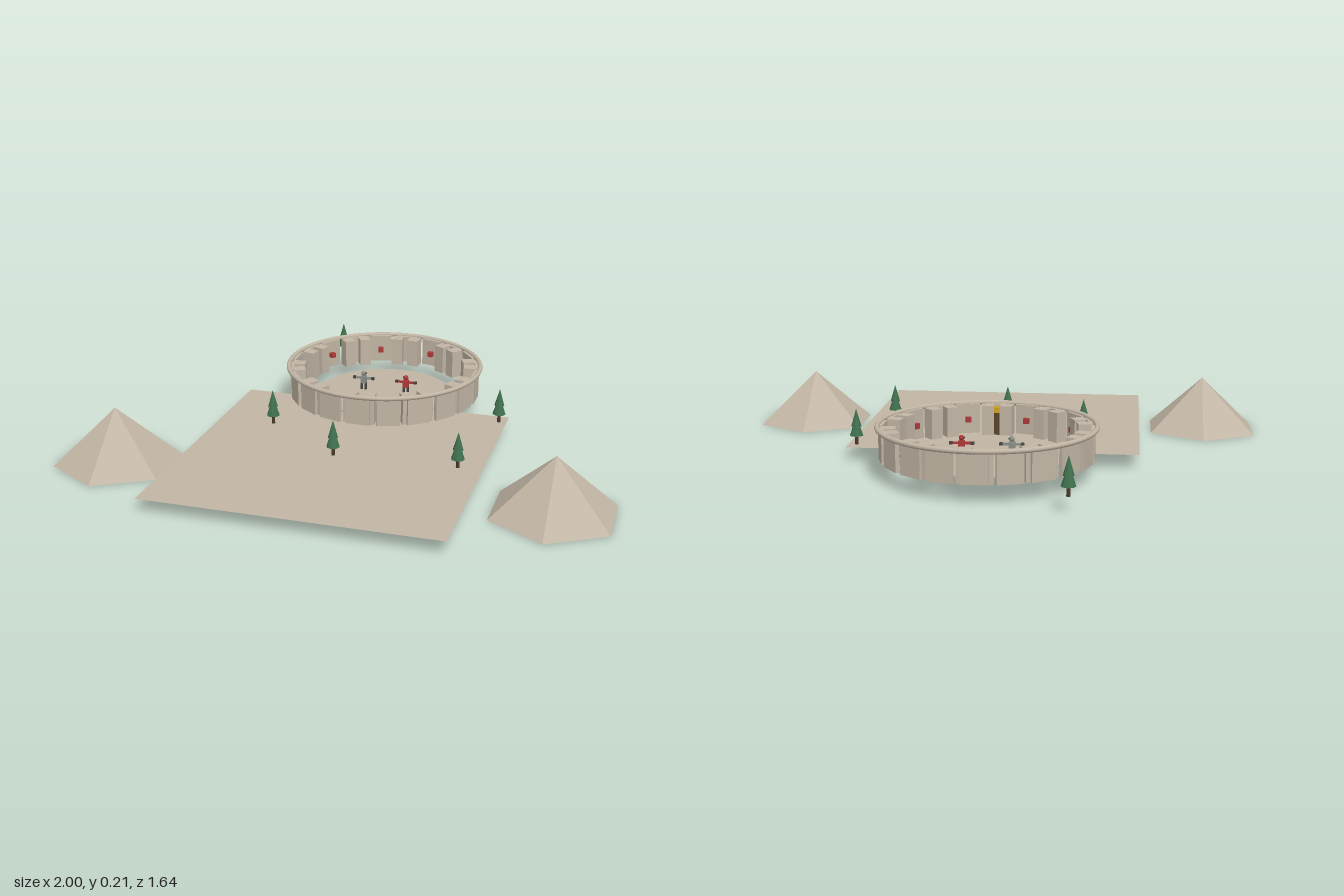
import * as THREE from 'three';

const mat = (name, color, extra = {}) => {
  const m = new THREE.MeshStandardMaterial({ color, ...extra });
  m.name = name;
  return m;
};

export function createModel() {
  const root = new THREE.Group();
  root.name = 'arenaSite';
  const stone = mat('sandstone', 0xc2b6a5, { flatShading: true });
  const paving = mat('paving', 0xc2b6a5, { side: THREE.DoubleSide });
  const green = mat('foliage', 0x40704f, { flatShading: true });
  const bark = mat('bark', 0x4a3a2a);
  const gold = mat('gold', 0xd0a020);
  const wood = mat('darkWood', 0x5a4326);
  const red = mat('red', 0xb03a3a);
  const grey = mat('greyMetal', 0x8a8f86);
  const dark = mat('darkMetal', 0x45443f);

  const add = (parent, name, geo, material, x = 0, y = 0, z = 0) => {
    const m = new THREE.Mesh(geo, material);
    m.name = name;
    m.position.set(x, y, z);
    parent.add(m);
    return m;
  };
  const group = (name, x, y, z) => {
    const g = new THREE.Group();
    g.name = name;
    g.position.set(x, y, z);
    root.add(g);
    return g;
  };
  const box = (w, h, d) => new THREE.BoxGeometry(w, h, d);

  // Paved forecourt
  const plaza = add(root, 'plaza', new THREE.PlaneGeometry(1.066, 1.066), paving, -0.013, 0.053, 0.284);
  plaza.rotation.x = -Math.PI / 2;

  // Six-sided hills
  for (const [x, z] of [[-0.797, 0.441], [0.794, 0.417]])
    add(root, 'hill', new THREE.ConeGeometry(0.234, 0.208, 6), stone, x, 0.104, z);

  // Trees: trunk and two tiers
  for (const [x, z] of [[-0.32, -0.80], [-0.333, 0.062], [-0.022, 0.284], [0.431, 0.263], [0.49, -0.196]]) {
    const tree = group('tree', x, 0.053, z);
    add(tree, 'trunk', new THREE.CylinderGeometry(0.005, 0.007, 0.04, 8), bark, 0, 0.02, 0);
    add(tree, 'lowerFoliage', new THREE.ConeGeometry(0.025, 0.075, 8), green, 0, 0.0705, 0);
    add(tree, 'upperFoliage', new THREE.ConeGeometry(0.019, 0.066, 8), green, 0, 0.101, 0);
  }

  // Arena floor and top rim
  const arena = group('arena', -0.013, 0, -0.366);
  add(arena, 'arenaFloor', new THREE.CylinderGeometry(0.267, 0.267, 0.007, 64),
    mat('arenaFloorStone', 0xc0b4a3), 0, 0.0575, 0);
  const rim = add(arena, 'rim', new THREE.TorusGeometry(0.384, 0.009, 10, 80), paving, 0, 0.177, 0);
  rim.rotation.x = Math.PI / 2;

  // Places a part on the ring; its local z points outward
  const onRing = (name, geo, material, deg, r, y) => {
    const a = THREE.MathUtils.degToRad(deg);
    const m = add(arena, name, geo, material, r * Math.sin(a), y, r * Math.cos(a));
    m.rotation.y = a;
    return m;
  };

  // Wall panels
  for (let i = 0; i < 20; i++)
    onRing('wallPanel', box(0.092, 0.112, 0.014), stone, i * 18, 0.37, 0.12);

  // Alcoves: two inward pillars and a red lamp between them
  for (let i = 0; i < 10; i++) {
    const deg = 18 + i * 36;
    for (const s of [-1, 1])
      onRing('pillar', box(0.046, 0.112, 0.05), stone, deg + s * 12, 0.344, 0.12);
    onRing('lamp', box(0.02, 0.02, 0.018), red, deg, 0.354, 0.118);
  }

  // Gate inside the front wall
  onRing('gateDoor', box(0.1, 0.085, 0.016), wood, 0, 0.352, 0.1025);
  onRing('gateLintel', box(0.112, 0.022, 0.024), gold, 0, 0.35, 0.156);

  // Two fighters facing each other in the middle
  for (const [x, body, face] of [[-0.087, grey, 1], [0.09, red, -1]]) {
    const f = new THREE.Group();
    f.name = 'fighter';
    f.position.set(x, 0.061, 0);
    arena.add(f);
    add(f, 'torso', box(0.022, 0.03, 0.02), body, 0, 0.043, 0);
    add(f, 'head', new THREE.SphereGeometry(0.01, 12, 8), body, 0, 0.068, 0);
    add(f, 'visor', box(0.004, 0.005, 0.012), dark, face * 0.009, 0.069, 0);
    for (const s of [-1, 1]) {
      add(f, 'leg', box(0.008, 0.03, 0.008), dark, s * 0.008, 0.015, 0);
      add(f, 'arm', box(0.024, 0.008, 0.008), body, s * 0.022, 0.049, 0);
      add(f, 'fist', box(0.012, 0.01, 0.01), dark, s * 0.038, 0.049, 0);
    }
  }
  return root;
}
